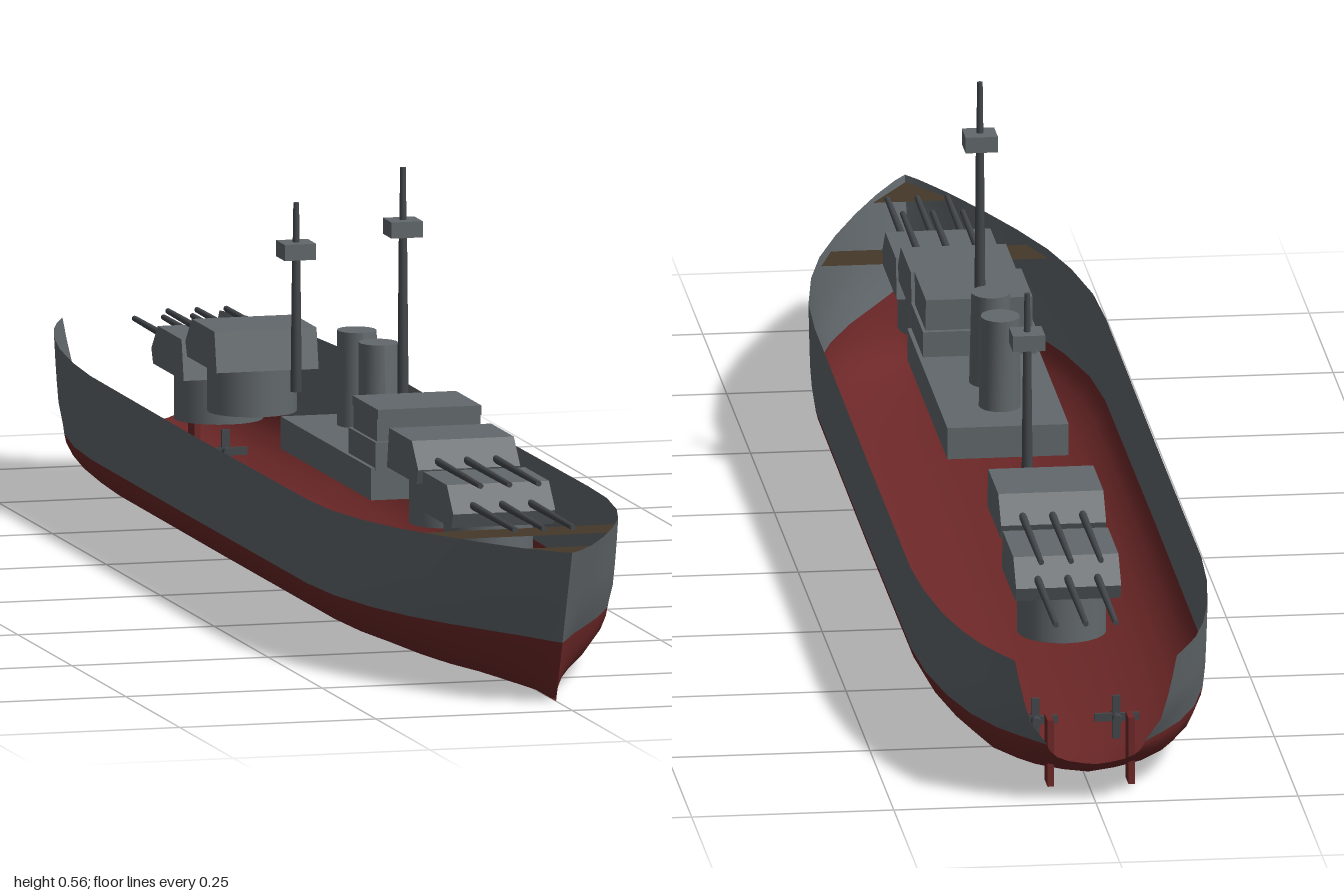
import * as THREE from 'three';

const mat = (name, color, side = THREE.FrontSide) => {
  const m = new THREE.MeshStandardMaterial({ color, side });
  m.name = name;
  return m;
};

export function createModel() {
  const ship = new THREE.Group();
  ship.name = 'warship';
  const grey = mat('hull grey', 0x62686c, THREE.DoubleSide);
  const red = mat('antifouling red', 0x6e2828, THREE.DoubleSide);
  const paint = mat('superstructure grey', 0x62686c);
  const dark = mat('dark steel', 0x43474b);
  const brown = mat('deck brown', 0x443828, THREE.DoubleSide);

  const add = (name, geo, material, x = 0, y = 0, z = 0, parent = ship) => {
    const m = new THREE.Mesh(geo, material);
    m.name = name;
    m.position.set(x, y, z);
    parent.add(m);
    return m;
  };
  const box = (name, w, h, d, material, x, y, z, parent) =>
    add(name, new THREE.BoxGeometry(w, h, d), material, x, y, z, parent);

  // Hull stations: z, rim half width, waterline half width, keel height, rim height
  const stations = [
    [-1, 0.1, 0.06, 0.05, 0.186], [-0.96, 0.118, 0.088, 0.032, 0.186],
    [-0.92, 0.133, 0.113, 0.016, 0.185], [-0.86, 0.149, 0.138, 0.003, 0.184],
    [-0.78, 0.164, 0.158, 0, 0.183], [-0.68, 0.175, 0.173, 0, 0.182],
    [-0.58, 0.18, 0.179, 0, 0.181], [-0.1, 0.18, 0.18, 0, 0.18],
    [0.42, 0.18, 0.179, 0, 0.182], [0.52, 0.176, 0.172, 0, 0.183],
    [0.62, 0.161, 0.152, 0, 0.185], [0.7, 0.141, 0.127, 0, 0.187],
    [0.78, 0.112, 0.095, 0, 0.189], [0.86, 0.078, 0.061, 0, 0.191],
    [0.93, 0.044, 0.031, 0, 0.193], [0.98, 0.015, 0.01, 0, 0.195], [1, 0, 0, 0, 0.196],
  ];
  const WATER = 0.077;
  // Fractions of half width and of height from keel to waterline
  const bilge = [[0, 0], [0.28, 0.07], [0.58, 0.2], [0.8, 0.4], [0.93, 0.65], [0.985, 0.86], [1, 1]];
  const raked = (z, y, top) => z - 0.075 * THREE.MathUtils.smoothstep(z, 0.7, 1) * (1 - y / top);

  const lowerSection = ([z, , w, keel, top]) => {
    const half = bilge.map(([u, v]) => [u * w, keel + v * (WATER - keel)]);
    const full = [...half.slice(1).reverse().map(([x, y]) => [-x, y]), ...half];
    return full.map(([x, y]) => [x, y, raked(z, y, top)]);
  };
  const sideSection = (s) => ([z, rim, w, , top]) =>
    [0, 0.25, 0.5, 0.75, 1].map((t) => {
      const y = WATER + t * (top - WATER);
      return [s * (w + (rim - w) * Math.sqrt(t)), y, raked(z, y, top)];
    });

  const loft = (sections) => {
    const n = sections[0].length, idx = [];
    for (let i = 0; i < sections.length - 1; i++)
      for (let j = 0; j < n - 1; j++) {
        const a = i * n + j, b = a + n;
        idx.push(a, a + 1, b, a + 1, b + 1, b);
      }
    const g = new THREE.BufferGeometry();
    g.setAttribute('position', new THREE.Float32BufferAttribute(sections.flat(2), 3));
    g.setIndex(idx);
    g.computeVertexNormals();
    return g;
  };
  add('lowerHull', loft(stations.map(lowerSection)), red);
  add('leftHullSide', loft(stations.map(sideSection(1))), grey);
  // Mirrored rows run downwards so both sides face out
  add('rightHullSide', loft(stations.map((s) => sideSection(-1)(s).reverse())), grey);

  // Partial decks near the bow
  const deck = (name, pts, y, material) => {
    const g = new THREE.ShapeGeometry(new THREE.Shape(pts.map(([x, z]) => new THREE.Vector2(x, -z))));
    add(name, g.rotateX(-Math.PI / 2), material, 0, y, 0);
  };
  deck('foredeckStrip', [[-0.14, 0.69], [-0.121, 0.75], [0.121, 0.75], [0.14, 0.69]], 0.178, brown);
  deck('bowDeck', [[-0.05, 0.91], [0, 0.992], [0.05, 0.91]], 0.189, brown);

  // Gun turret: sloped face, barbette and three barrels
  const turret = (name, z, roof, length, reach, dir) => {
    const t = new THREE.Group();
    t.name = name;
    const h = 0.05, l = length / 2;
    const side = new THREE.Shape([
      [-l, 0], [l - 0.008, 0], [l, 0.018], [l - 0.03, h], [-l + 0.01, h],
    ].map(([a, b]) => new THREE.Vector2(a, b)));
    const house = new THREE.ExtrudeGeometry(side, { depth: 0.13, bevelEnabled: false });
    house.translate(0, 0, -0.065).rotateY(-Math.PI / 2);
    add('gunHouse', house, paint, 0, roof - h, 0, t);
    add('barbette', new THREE.CylinderGeometry(0.055, 0.055, 0.06, 24), paint, 0, roof - h - 0.03, 0, t);
    for (const x of [-0.037, 0, 0.037]) {
      const len = reach - l + 0.03;
      const barrel = new THREE.CylinderGeometry(0.0035, 0.005, len, 10).rotateX(Math.PI / 2);
      add('gunBarrel', barrel, dark, x, roof - 0.024, l - 0.03 + len / 2, t);
    }
    t.position.z = z;
    t.rotation.y = dir < 0 ? Math.PI : 0;
    ship.add(t);
  };
  turret('forwardLowerTurret', 0.61, 0.23, 0.15, 0.26, 1);
  turret('forwardUpperTurret', 0.45, 0.26, 0.145, 0.26, 1);
  turret('aftUpperTurret', -0.485, 0.255, 0.145, 0.255, -1);
  turret('aftLowerTurret', -0.64, 0.222, 0.15, 0.255, -1);

  // Superstructure
  box('superstructureBase', 0.15, 0.04, 0.42, paint, 0, 0.183, 0.13);
  box('bridgeLowerTier', 0.14, 0.035, 0.125, paint, 0, 0.2175, 0.28);
  box('bridgeUpperTier', 0.132, 0.028, 0.11, paint, 0, 0.249, 0.28);
  box('bridgeRoof', 0.132, 0.012, 0.118, paint, 0, 0.269, 0.28);
  for (const [y, z] of [[0.21, 0.344], [0.24, 0.336]])
    for (const x of [-0.04, 0, 0.04])
      add('porthole', new THREE.TorusGeometry(0.0035, 0.001, 6, 14), dark, x, y, z);

  // Funnels, raked slightly aft
  for (const z of [0.105, 0.005]) {
    const funnel = new THREE.CylinderGeometry(0.024, 0.026, 0.125, 24);
    const p = funnel.attributes.position;
    for (let i = 0; i < p.count; i++) p.setZ(i, p.getZ(i) * 1.15 - p.getY(i) * 0.06);
    funnel.computeVertexNormals();
    add('funnel', funnel, paint, 0, 0.2575, z);
  }

  // Masts with lookout platforms
  const mast = (name, z, foot, platform, top) => {
    const m = new THREE.Group();
    m.name = name;
    const lower = platform - foot, upper = top - platform;
    add('lowerMast', new THREE.CylinderGeometry(0.005, 0.007, lower, 10), dark, 0, foot + lower / 2, z, m);
    add('topMast', new THREE.CylinderGeometry(0.0035, 0.0045, upper, 10), dark, 0, platform + upper / 2, z, m);
    box('lookoutPlatform', 0.04, 0.02, 0.04, paint, 0, platform, z, m);
    ship.add(m);
  };
  mast('foremast', 0.215, 0.27, 0.48, 0.555);
  mast('mainmast', -0.28, 0.2, 0.376, 0.435);

  // Rudders and propellers
  for (const x of [-0.05, 0.05]) {
    box('rudder', 0.008, 0.085, 0.03, red, x, 0.05, -0.935);
    const prop = new THREE.Group();
    prop.name = 'propeller';
    add('hub', new THREE.CylinderGeometry(0.006, 0.006, 0.03, 10).rotateX(Math.PI / 2), dark, 0, 0, 0, prop);
    for (let i = 0; i < 2; i++)
      box('blades', 0.055, 0.01, 0.004, dark, 0, 0, 0, prop).rotation.z = i * Math.PI / 2;
    prop.position.set(x, 0.045, -0.79);
    ship.add(prop);
  }
  return ship;
}
